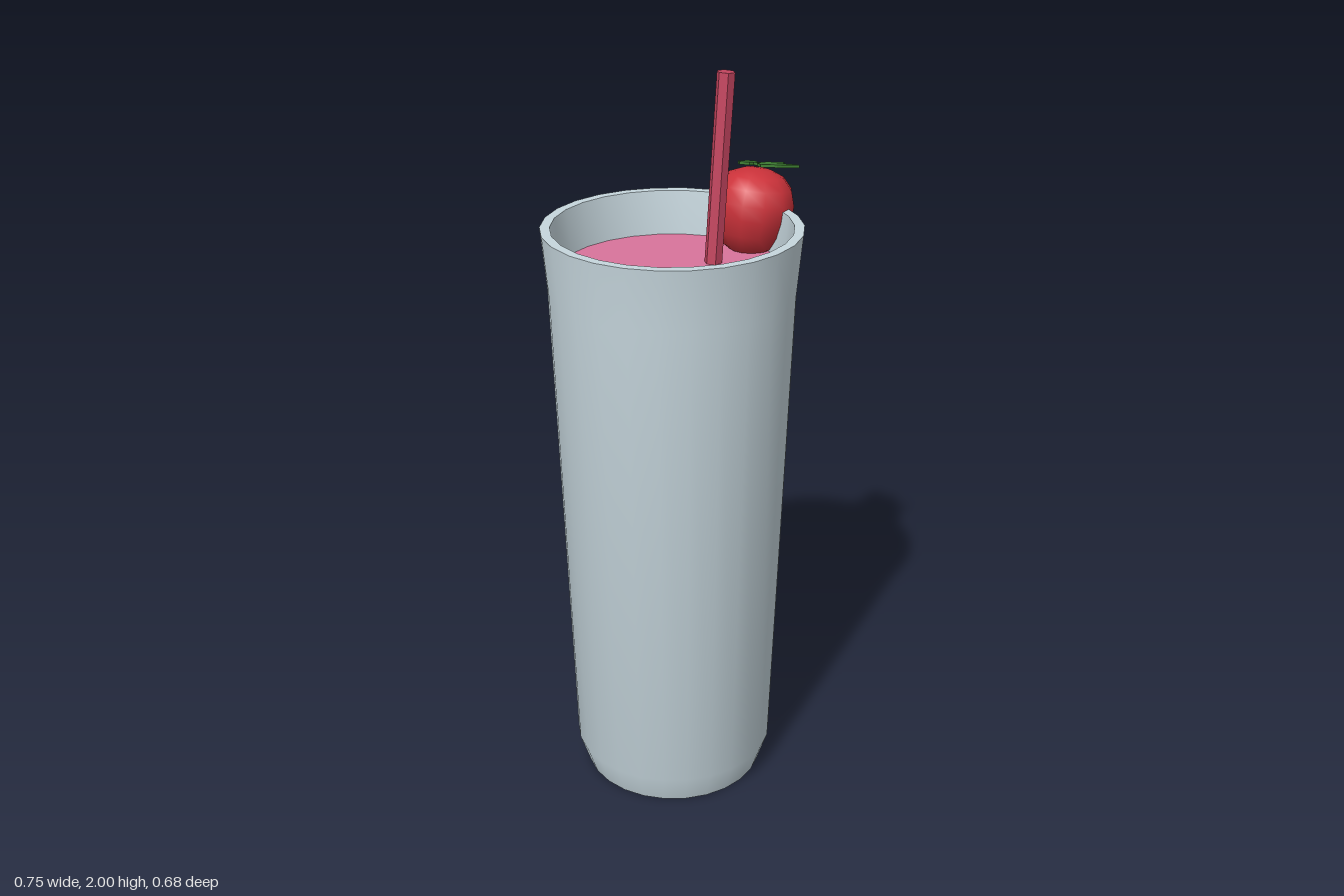
import * as THREE from 'three';
import { toCreasedNormals } from 'three/addons/utils/BufferGeometryUtils.js';

const SIDES = 26;
const GLASS_X = -0.037;
const MILK_Y = 1.5;

function material(name, color, side = THREE.FrontSide) {
  const m = new THREE.MeshStandardMaterial({ color, side });
  m.name = name;
  return m;
}

function mesh(name, geometry, mat) {
  const m = new THREE.Mesh(geometry, mat);
  m.name = name;
  return m;
}

function lathe(points, sides) {
  return new THREE.LatheGeometry(points.map(([r, y]) => new THREE.Vector2(r, y)), sides);
}

// A thin leaf outlined in plan (x, z) and laid on the sloping top of the berry
function leafGeometry(outline) {
  const shape = new THREE.Shape(outline.map(([x, z]) => new THREE.Vector2(x, z)));
  const geo = new THREE.ExtrudeGeometry(shape, { depth: 0.008, bevelEnabled: false });
  geo.rotateX(Math.PI / 2);
  const p = geo.attributes.position;
  for (let i = 0; i < p.count; i++) {
    const x = p.getX(i), z = p.getZ(i);
    p.setY(i, p.getY(i) + 1.723 + 0.14 * z - 0.17 * (x - 0.29));
  }
  geo.computeVertexNormals();
  return geo;
}

export function createModel() {
  const glassMat = material('glass grey blue', 0xc6d6dd);
  const milkMat = material('milkshake pink', 0xd9749b);
  const strawMat = material('straw red', 0xc4455f);
  const berryMat = material('berry red', 0xcc323a);
  const leafMat = material('leaf green', 0x3f8033);

  const model = new THREE.Group();
  model.name = 'milkshake';

  // Tall tapered glass with a flared lip and hollow inside
  const glassGeo = lathe([
    [0, 0], [0.253, 0], [0.281, 0.085], [0.325, 1.45], [0.34, 1.62],
    [0.314, 1.62], [0.298, MILK_Y - 0.02], [0.255, 0.1], [0, 0.06],
  ], SIDES);
  glassGeo.rotateY(Math.PI / 2);
  const glass = mesh('glass', toCreasedNormals(glassGeo, 0.6), glassMat);
  glass.position.x = GLASS_X;
  model.add(glass);

  // Drink surface
  const milkGeo = new THREE.CircleGeometry(0.3, SIDES);
  milkGeo.rotateX(-Math.PI / 2);
  const milk = mesh('milkshakeSurface', milkGeo, milkMat);
  milk.position.set(GLASS_X, MILK_Y, 0);
  model.add(milk);

  // Six-sided leaning straw
  const bottom = new THREE.Vector3(0.079, 1.35, 0.02);
  const top = new THREE.Vector3(0.116, 1.998, 0.034);
  const axis = top.clone().sub(bottom);
  const strawGeo = new THREE.CylinderGeometry(0.024, 0.024, axis.length(), 6);
  strawGeo.rotateY(Math.PI / 6);
  const straw = mesh('straw', toCreasedNormals(strawGeo, 0.6), strawMat);
  straw.position.copy(bottom).add(top).multiplyScalar(0.5);
  straw.quaternion.setFromUnitVectors(new THREE.Vector3(0, 1, 0), axis.normalize());
  model.add(straw);

  // Strawberry sitting on the rim
  const berry = new THREE.Group();
  berry.name = 'strawberry';
  const fruit = mesh('berry', lathe([
    [0, -0.127], [0.035, -0.12], [0.068, -0.098], [0.094, -0.06], [0.109, -0.015],
    [0.112, 0.025], [0.1, 0.065], [0.075, 0.093], [0.04, 0.108], [0, 0.112],
  ], 12), berryMat);
  fruit.position.set(0.253, 1.603, 0);
  fruit.rotation.z = -0.15;
  berry.add(fruit);

  // Leaves fanned towards the outside of the glass
  const leaves = {
    outerLeaf: [[0.285, -0.03], [0.34, -0.03], [0.373, 0], [0.335, 0.03], [0.285, 0.01]],
    backLeaf: [[0.262, -0.06], [0.285, -0.09], [0.33, -0.097], [0.328, -0.06], [0.3, -0.033], [0.275, -0.035]],
    frontLeaf: [[0.268, 0], [0.3, 0], [0.328, 0.042], [0.33, 0.095], [0.27, 0.07], [0.24, 0.04]],
  };
  for (const [name, outline] of Object.entries(leaves)) {
    berry.add(mesh(name, leafGeometry(outline), leafMat));
  }
  model.add(berry);
  return model;
}
